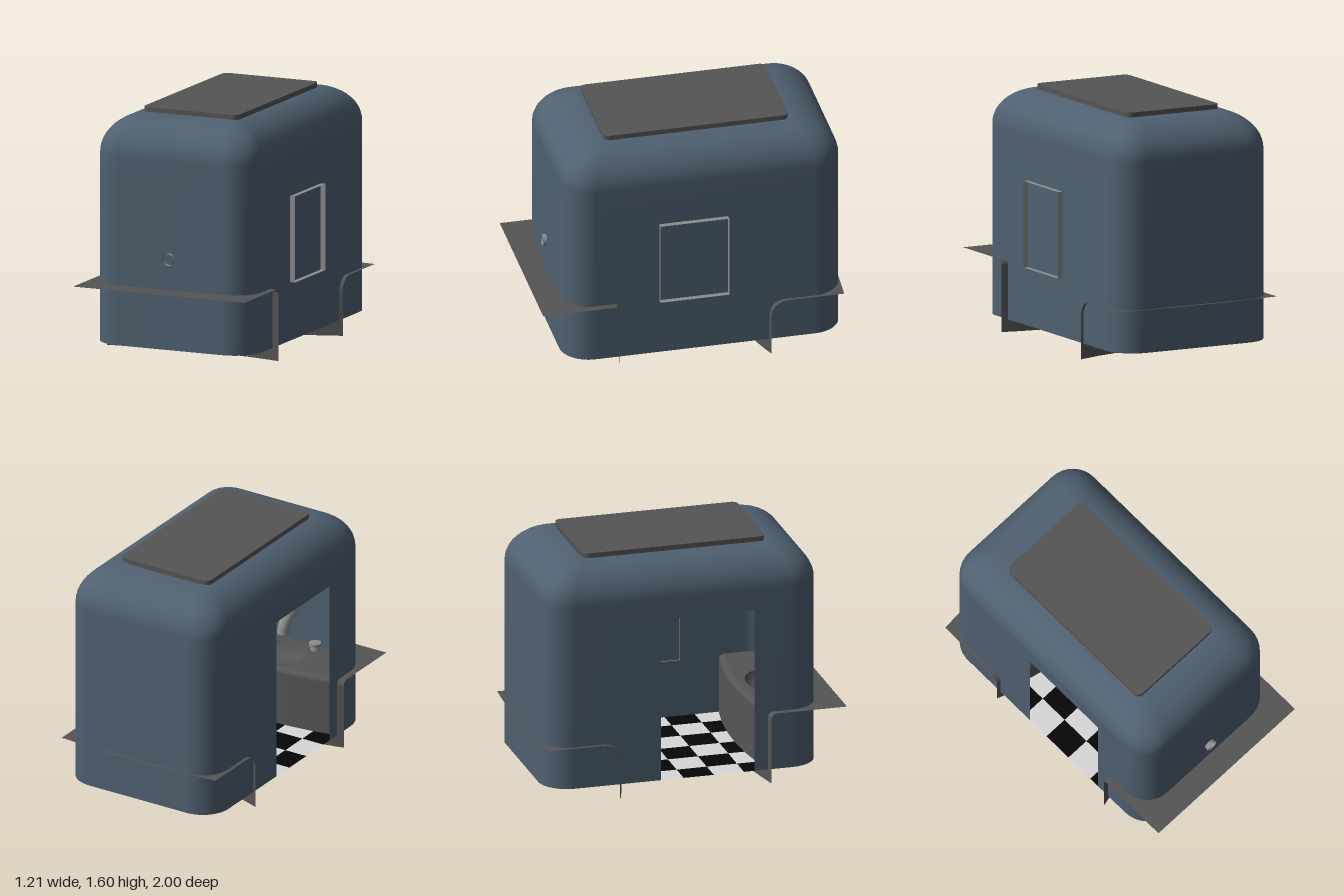
import * as THREE from 'three';

const mat = (name, color, side = THREE.FrontSide) => {
  const m = new THREE.MeshStandardMaterial({ color, side });
  m.name = name;
  return m;
};
const ZC = -0.07;                       // cabin centre in z
const DOOR = { z0: -0.22, z1: 0.40, top: 1.19 };
const FLOOR = 0.1;

// Builds an indexed surface from rows of points; skip(row, column) leaves a gap
function loft(rows, closed, skip = () => false) {
  const n = rows[0].length, index = [];
  for (let j = 0; j < rows.length - 1; j++) {
    for (let i = 0; i < (closed ? n : n - 1); i++) {
      if (skip(j, i)) continue;
      const a = j * n + i, b = j * n + (i + 1) % n;
      index.push(a, b, b + n, a, b + n, a + n);
    }
  }
  const g = new THREE.BufferGeometry();
  g.setAttribute('position', new THREE.Float32BufferAttribute(rows.flat(2), 3));
  g.setIndex(index);
  g.computeVertexNormals();
  return g;
}

// Rounded rectangle section of the cabin, starting and ending at the doorway
function ring(hx, hz, r, y) {
  const pts = [[-hx, y, DOOR.z1]];
  [[-1, 1], [1, 1], [1, -1], [-1, -1]].forEach(([sx, sz], c) => {
    for (let k = 0; k <= 8; k++) {
      const a = (c - 1 + k / 8) * Math.PI / 2;
      pts.push([sx * (hx - r) + r * Math.sin(a), y, ZC + sz * (hz - r) + r * Math.cos(a)]);
    }
  });
  pts.push([-hx, y, DOOR.z0]);
  return pts;
}

export function createModel() {
  const model = new THREE.Group();
  const blue = mat('slate blue shell', 0x4f6070, THREE.DoubleSide);
  const dark = mat('dark grey', 0x555555, THREE.DoubleSide);
  const metal = mat('light grey metal', 0x8c8c8c, THREE.DoubleSide);
  const white = mat('white tile', 0xd8d8d8, THREE.DoubleSide);
  const black = mat('black tile', 0x060606, THREE.DoubleSide);
  const add = (name, geometry, material, parent = model) => {
    const m = new THREE.Mesh(geometry, material);
    m.name = name;
    parent.add(m);
    return m;
  };

  // Shell: straight walls with a doorway, then a rounded shoulder
  const rows = [ring(0.56, 0.91, 0.19, FLOOR), ring(0.56, 0.91, 0.19, DOOR.top)];
  for (let k = 0; k <= 12; k++) {
    const a = k / 12 * Math.PI / 2, t = 1 - Math.cos(a);
    rows.push(ring(0.56 - 0.26 * t, 0.91 - 0.305 * t, 0.19 - 0.15 * t, 1.33 + 0.24 * Math.sin(a)));
  }
  const last = rows[0].length - 1;
  add('cabinShell', loft(rows, true, (j, i) => j === 0 && i === last), blue);

  // Roof plate
  const w = 0.335, h = 0.605, r = 0.04;
  const plate = new THREE.Shape();
  plate.absarc(w - r, h - r, r, 0, Math.PI / 2);
  plate.absarc(-w + r, h - r, r, Math.PI / 2, Math.PI);
  plate.absarc(-w + r, -h + r, r, Math.PI, Math.PI * 1.5);
  plate.absarc(w - r, -h + r, r, Math.PI * 1.5, Math.PI * 2);
  const plateGeo = new THREE.ExtrudeGeometry(plate, { depth: 0.032, bevelEnabled: false, curveSegments: 6 });
  plateGeo.rotateX(-Math.PI / 2).translate(0, 1.568, ZC + 0.005);
  add('roofPlate', plateGeo, dark);

  // Chequered floor, each tile pressed inside the rounded footprint
  const floor = new THREE.Group();
  floor.name = 'floor';
  model.add(floor);
  const T = 0.2;
  for (let i = -3; i < 3; i++) {
    for (let j = -5; j < 5; j++) {
      const g = new THREE.PlaneGeometry(T, T, 6, 6).rotateX(-Math.PI / 2);
      g.translate((i + 0.5) * T, 0, (j + 0.5) * T);
      const p = g.attributes.position;
      for (let v = 0; v < p.count; v++) {
        const x = p.getX(v), z = p.getZ(v);
        const cx = THREE.MathUtils.clamp(x, -0.37, 0.37), cz = THREE.MathUtils.clamp(z, -0.72, 0.72);
        const d = Math.hypot(x - cx, z - cz), s = d > 0.19 ? 0.19 / d : 1;
        p.setXYZ(v, cx + (x - cx) * s, FLOOR, ZC + cz + (z - cz) * s);
      }
      add('floorTile', g, (i + j) % 2 ? black : white, floor);
    }
  }

  // Thin bowed panel that rises, bends over and becomes a flat top
  function ledge(name, { half, bow, bottom, top, radius, dir, end, hole }) {
    const group = new THREE.Group();
    group.name = name;
    model.add(group);
    const xs = Array.from({ length: 25 }, (_, i) => (i / 12 - 1) * half);
    const row = (y, dz) => xs.map(x => [x, y, bow(x) + dir * dz]);
    const panel = [row(bottom, 0)];
    for (let k = 0; k <= 8; k++) {
      const a = k / 8 * Math.PI / 2;
      panel.push(row(top - radius + radius * Math.sin(a), radius * (1 - Math.cos(a))));
    }
    add(name + 'Front', loft(panel, false), dark, group);
    const shape = new THREE.Shape([
      ...xs.map(x => new THREE.Vector2(x, bow(x) + dir * radius)),
      ...end.map(([x, z]) => new THREE.Vector2(x, z)),
    ]);
    if (hole) shape.holes.push(hole);
    add(name + 'Top', new THREE.ShapeGeometry(shape, 24).rotateX(Math.PI / 2).translate(0, top, 0), dark, group);
  }

  // Wash counter with an oval basin
  const basin = { z: 0.65, rx: 0.21, rz: 0.14 };
  const oval = new THREE.Path();
  oval.absellipse(0, basin.z, basin.rx, basin.rz, 0, Math.PI * 2, true);
  ledge('counter', {
    half: 0.605, bow: x => 0.43 + 0.07 * (x / 0.605) ** 2, bottom: 0.02, top: 0.49,
    radius: 0.035, dir: 1, end: [[0.605, 1], [-0.605, 1]], hole: oval,
  });
  const bowl = new THREE.LatheGeometry(
    [[0, -0.09], [0.5, -0.085], [0.8, -0.06], [0.95, -0.025], [1, 0]].map(([x, y]) => new THREE.Vector2(x, y)), 48);
  bowl.scale(basin.rx, 1, basin.rz).translate(0, 0.49, basin.z);
  add('basin', bowl, dark);

  // Rear bench
  ledge('bench', {
    half: 0.582, bow: x => -0.38 - 0.12 * (x / 0.582) ** 2, bottom: 0, top: 0.38,
    radius: 0.1, dir: -1, end: [[0.582, -0.975], [0.2, -1], [-0.2, -1], [-0.582, -0.975]],
  });

  // Spout: open pipe through the front wall, curving down over the basin
  const spout = new THREE.CatmullRomCurve3([[0.69, 0.866], [0.69, 0.81], [0.672, 0.765], [0.63, 0.735], [0.575, 0.72]]
    .map(([y, z]) => new THREE.Vector3(0, y, z)));
  add('spout', new THREE.TubeGeometry(spout, 24, 0.038, 20), metal);

  // Taps on either side of the spout
  for (const s of [-1, 1]) {
    const tap = new THREE.Group();
    tap.name = s > 0 ? 'leftTap' : 'rightTap';
    tap.position.set(s * 0.2, 0.49, 0.79);
    model.add(tap);
    add('tapStem', new THREE.CylinderGeometry(0.022, 0.03, 0.03, 16).translate(0, 0.015, 0), metal, tap);
    add('tapKnob', new THREE.CylinderGeometry(0.04, 0.04, 0.02, 20).translate(0, 0.04, 0), metal, tap);
  }

  // Window surround: four thin fins standing off the left wall
  const fins = [[0.23, 0.48], [0.23, 1.04], [-0.22, 1.04], [-0.22, 0.48]];
  for (let i = 0; i < 4; i++) {
    const [za, ya] = fins[i], [zb, yb] = fins[(i + 1) % 4];
    add('windowFin', loft([[[0.55, ya, za], [0.594, ya, za]], [[0.55, yb, zb], [0.594, yb, zb]]], false), metal);
  }
  return model;
}
